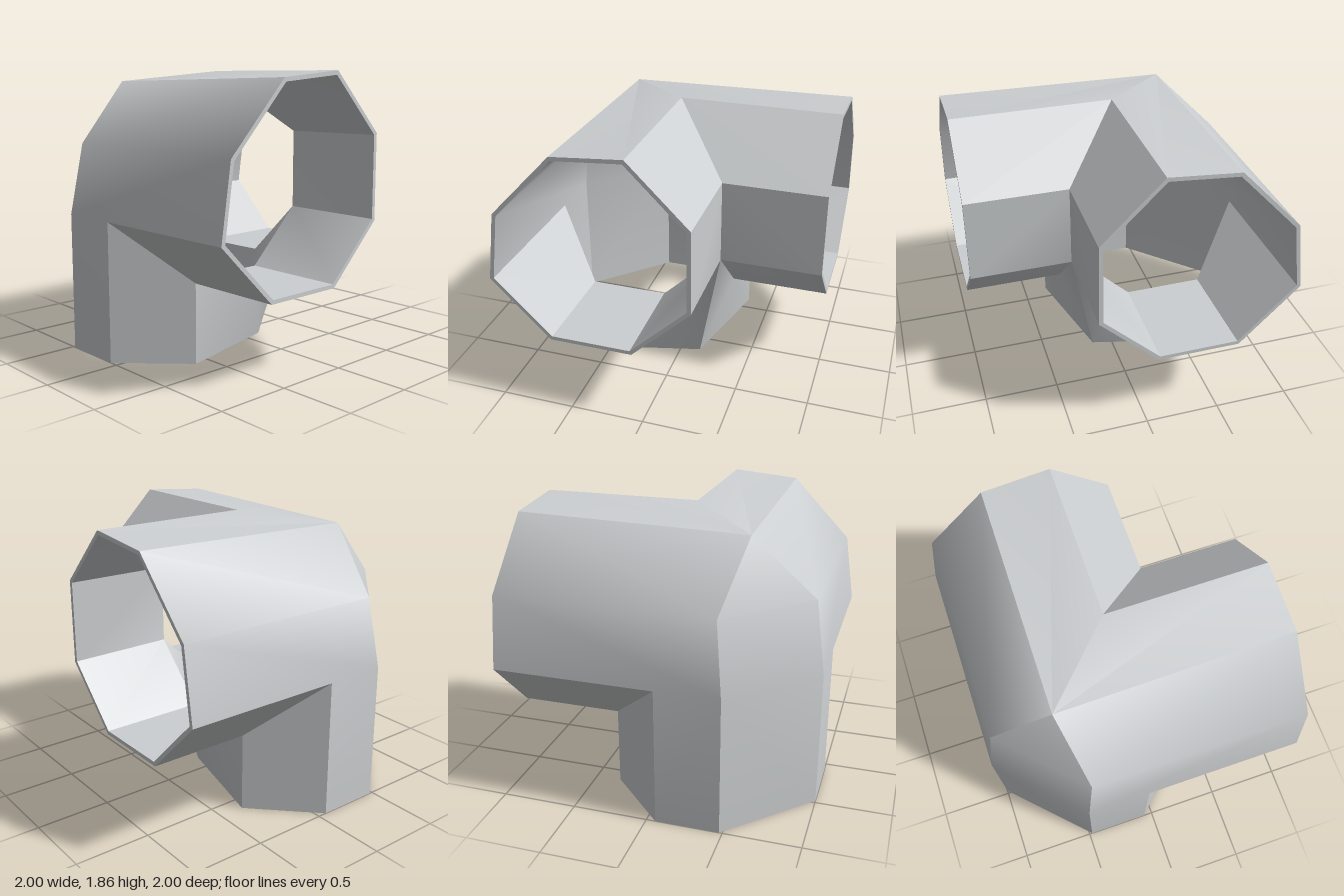
import * as THREE from 'three';
import { toCreasedNormals } from 'three/addons/utils/BufferGeometryUtils.js';

const WALL = 0.026;

// Corner points of the half fitting; the other half mirrors x and -z
const P = {
  // open end of the side pipe
  E0: [1, 1.86, 0.06], E1: [1, 1.82, 0.52], E2: [1, 1.39, 0.93], E3: [1, 0.92, 1],
  E4: [1, 0.53, 0.61], E5: [1, 0.53, 0.06], E6: [1, 0.91, -0.33], E7: [1, 1.47, -0.33],
  // outer elbow
  Q1: [-0.53, 1.79, 0.53], Q2: [-0.43, 1.39, 0.93], Q3: [-0.48, 0.92, 1],
  // mitred joints between the pipes
  T: [-0.06, 1.86, 0.06], F: [0.33, 1.47, -0.33], D: [0.33, 0.91, -0.33],
  A: [-0.06, 0.92, 1], B: [0.33, 0.53, 0.61], C: [0.33, 0.53, 0.06],
  // open end of the down pipe
  G: [-0.48, 0, 1], H: [-0.06, 0, 1], J: [0.33, 0, 0.61], K: [0.14, 0, -0.14],
};

const HALF = [
  'E0 T Q1 E1', 'E1 Q1 Q2 E2', 'E2 Q2 Q3 A E3', 'E3 A B E4',
  'E4 B C E5', 'E5 C D E6', 'E6 D F E7', 'E7 F T E0',
  'Q3 G H A', 'A H J B', 'C B J K D',
];

const vec = (name) => new THREE.Vector3(...P[name]);
const mirror = (p) => new THREE.Vector3(-p.z, p.y, -p.x);
const key = (p) => p.toArray().map((n) => n.toFixed(3)).join();

function outerFaces() {
  const faces = [];
  for (const row of HALF) {
    const pts = row.split(' ').map(vec);
    faces.push(pts);
    // reversed, keeping the first corner as the fan centre
    const m = pts.map(mirror);
    faces.push([m[0], ...m.slice(1).reverse()]);
  }
  // bevelled outer corner
  const [q1, q2, q3, g] = ['Q1', 'Q2', 'Q3', 'G'].map(vec);
  faces.push([q1, mirror(q2), q2]);
  faces.push([mirror(q2), mirror(q3), q3, q2]);
  faces.push([mirror(q3), mirror(g), g, q3]);
  return faces;
}

function faceNormal(f) {
  const n = new THREE.Vector3();
  for (let i = 1; i < f.length - 1; i++) {
    n.add(f[i].clone().sub(f[0]).cross(f[i + 1].clone().sub(f[0])));
  }
  return n.normalize();
}

// Returns a function that moves a corner inward by the wall thickness
function insetRule(faces) {
  const normals = {};
  for (const f of faces) {
    const n = faceNormal(f);
    for (const p of f) (normals[key(p)] ||= []).push(n);
  }
  return (p) => {
    const list = normals[key(p)];
    const dir = new THREE.Vector3();
    list.forEach((n) => dir.add(n));
    dir.normalize();
    const mean = list.reduce((s, n) => s + n.dot(dir), 0) / list.length;
    const q = p.clone().addScaledVector(dir, -WALL / mean);
    // the pipe ends stay flat
    if (p.x === 1) q.x = 1;
    if (p.y === 0) q.y = 0;
    if (p.z === -1) q.z = -1;
    return q;
  };
}

function shell(name, faces, material) {
  const pos = [];
  for (const f of faces) {
    for (let i = 1; i < f.length - 1; i++) {
      for (const p of [f[0], f[i], f[i + 1]]) pos.push(p.x, p.y, p.z);
    }
  }
  const geo = new THREE.BufferGeometry();
  geo.setAttribute('position', new THREE.Float32BufferAttribute(pos, 3));
  geo.computeVertexNormals();
  const mesh = new THREE.Mesh(toCreasedNormals(geo, 0.66), material);
  mesh.name = name;
  return mesh;
}

export function createModel() {
  const group = new THREE.Group();
  group.name = 'threeWayPipeElbow';
  const grey = new THREE.MeshStandardMaterial({ color: 0xcccfd1 });
  grey.name = 'light grey';

  const outer = outerFaces();
  const inset = insetRule(outer);

  // inner wall, facing into the pipes
  const inner = outer.map((f) => {
    const q = f.map(inset);
    return [q[0], ...q.slice(1).reverse()];
  });

  // rims joining both walls at the three open ends
  const rims = [];
  const onEnd = (a, b) => (a.x === 1 && b.x === 1) || (a.y === 0 && b.y === 0) || (a.z === -1 && b.z === -1);
  for (const f of outer) {
    f.forEach((a, i) => {
      const b = f[(i + 1) % f.length];
      if (onEnd(a, b)) rims.push([b, a, inset(a), inset(b)]);
    });
  }

  group.add(
    shell('outerWall', outer, grey),
    shell('innerWall', inner, grey),
    shell('endRims', rims, grey),
  );
  return group;
}
